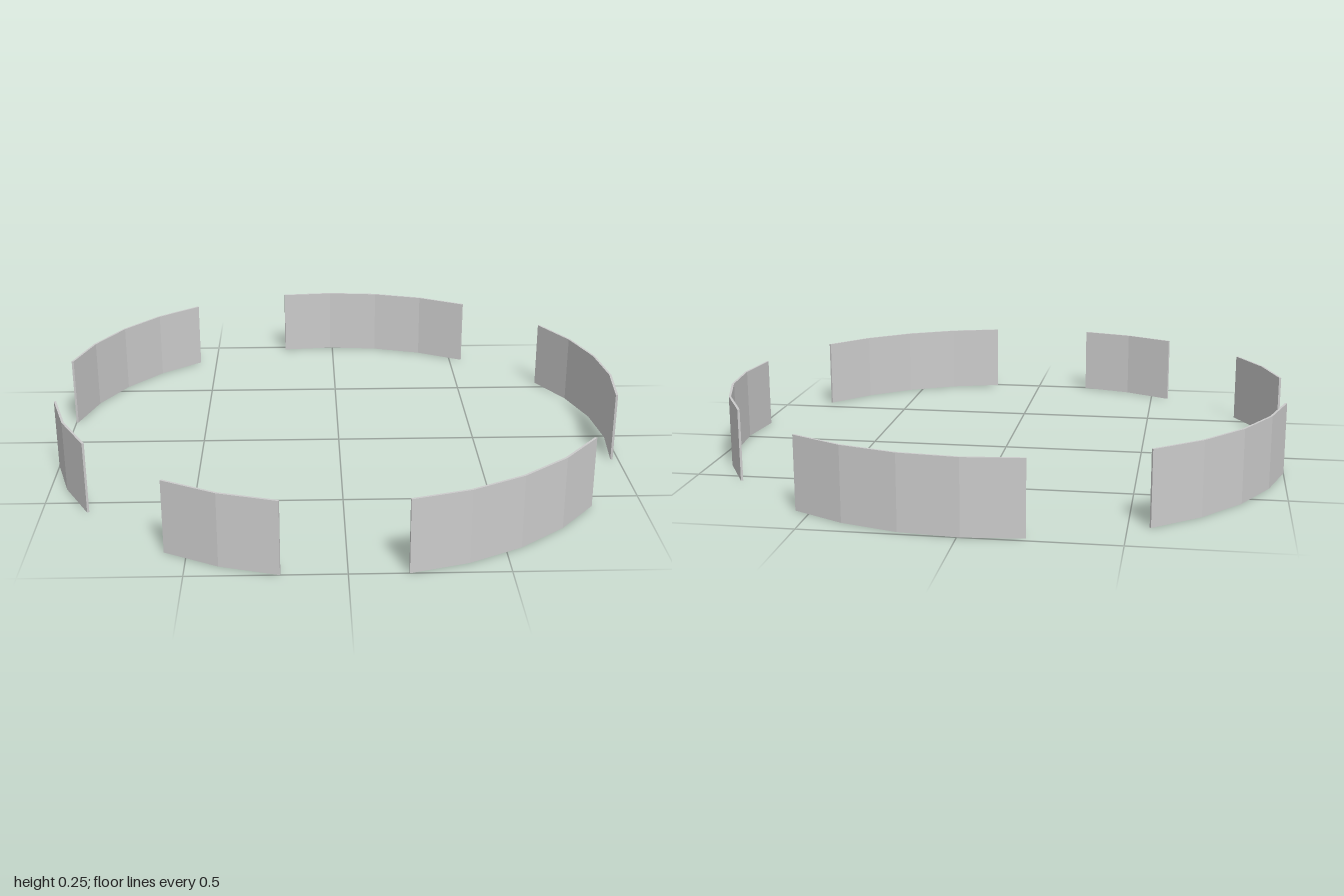
import * as THREE from 'three';

const RADIUS = 1.01, THICKNESS = 0.008, HEIGHT = 0.25;
const CENTRE_X = -0.01, CENTRE_Z = 0.01;
const STEP = Math.PI / 16; // the full ring has 32 facets

// Thin faceted wall running along the ring from one facet corner to another
function wallGeometry(from, to) {
  const point = (radius, k) =>
    new THREE.Vector2(radius * Math.cos(k * STEP), -radius * Math.sin(k * STEP));
  const outline = [];
  for (let k = from; k <= to; k++) outline.push(point(RADIUS, k));
  for (let k = to; k >= from; k--) outline.push(point(RADIUS - THICKNESS, k));
  const geometry = new THREE.ExtrudeGeometry(new THREE.Shape(outline), {
    depth: HEIGHT, bevelEnabled: false,
  });
  return geometry.rotateX(-Math.PI / 2);
}

export function createModel() {
  const ring = new THREE.Group();
  ring.name = 'brokenRing';
  const material = new THREE.MeshStandardMaterial({ color: 0xcccccc, flatShading: true });

  // Facet spans, counted from +x towards +z
  const walls = {
    leftWall: [-3, 1],
    frontLeftWall: [3, 7],
    frontRightWall: [9, 11],
    rightWall: [13, 15],
    backRightWall: [17, 21],
    backWall: [23, 27],
  };
  for (const [name, [from, to]] of Object.entries(walls)) {
    const wall = new THREE.Mesh(wallGeometry(from, to), material);
    wall.name = name;
    wall.position.set(CENTRE_X, 0, CENTRE_Z);
    ring.add(wall);
  }
  return ring;
}
